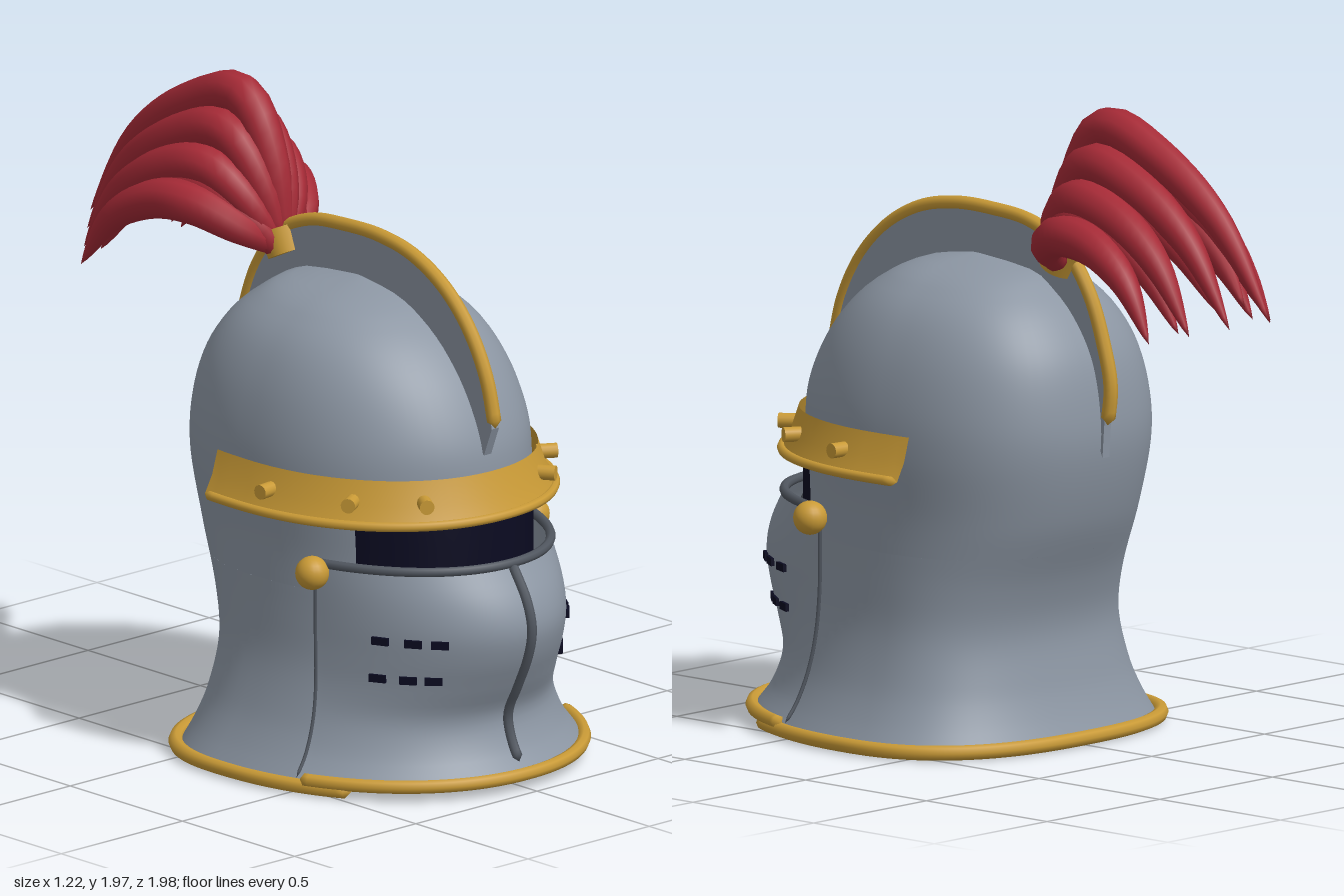
import * as THREE from 'three';
import { mergeVertices } from 'three/addons/utils/BufferGeometryUtils.js';

const V = (x, y, z) => new THREE.Vector3(x, y, z);
const mat = (name, color, side = THREE.FrontSide) => {
  const m = new THREE.MeshStandardMaterial({ color, side });
  m.name = name;
  return m;
};

const C = 0.22; // z of the widest point of every cross-section

// Cross-section point; angle 0 is the front, growing towards +x
function sectionPoint([y, w, zf, zb], a) {
  const s = Math.sin(a), c = Math.cos(a);
  const e = 2 / (c > 0 ? 2.1 : 2.5);
  const d = c > 0 ? zf - C : C - zb;
  return V(w * Math.sign(s) * Math.abs(s) ** e, y, C + d * Math.sign(c) * Math.abs(c) ** e);
}
// Angle at which a section reaches a given z in front of C
const angleAt = (row, z) => Math.acos(Math.min(1, Math.max(0, (z - C) / (row[2] - C)) ** 1.05));

// Smooth profile through rows [y, halfWidth, zFront, zBack]
function profile(rows) {
  const c1 = new THREE.CatmullRomCurve3(rows.map(r => V(r[0], r[1], r[2])), false, 'catmullrom');
  const c2 = new THREE.CatmullRomCurve3(rows.map(r => V(r[0], r[3], 0)), false, 'catmullrom');
  return y => {
    let lo = 0, hi = 1;
    for (let i = 0; i < 30; i++) {
      const m = (lo + hi) / 2;
      if (c1.getPoint(m).y !== undefined && c1.getPoint(m).x < y) lo = m; else hi = m;
    }
    const p = c1.getPoint(hi), q = c2.getPoint(hi);
    return [p.x, Math.max(0, p.y), p.z, q.y];
  };
}

// Surface over section rows; range(row) gives the start and end angle
function loft(rows, range, seg) {
  const pos = [], idx = [];
  rows.forEach((row, i) => {
    const [a0, a1] = range(row);
    for (let j = 0; j <= seg; j++) {
      pos.push(...sectionPoint(row, a0 + (a1 - a0) * j / seg).toArray());
      if (i && j) {
        const d = i * (seg + 1) + j, a = d - seg - 2;
        idx.push(a, a + 1, d - 1, a + 1, d, d - 1);
      }
    }
  });
  const g = new THREE.BufferGeometry();
  g.setAttribute('position', new THREE.Float32BufferAttribute(pos, 3));
  g.setIndex(idx);
  const m = mergeVertices(g, 1e-4);
  m.computeVertexNormals();
  return m;
}
const steps = (a, b, n) => Array.from({ length: n + 1 }, (_, i) => a + (b - a) * i / n);

// Tube closed at both ends whose radius follows a function of length
function sweep(points, r, seg = 60, sides = 8, taper = () => 1) {
  const curve = new THREE.CatmullRomCurve3(points);
  const g = new THREE.TubeGeometry(curve, seg, r, sides, false);
  const p = g.attributes.position, v = V(0, 0, 0);
  for (let i = 0; i <= seg; i++) {
    const c = curve.getPointAt(i / seg);
    const k = i === 0 || i === seg ? 0 : taper(i / seg);
    for (let j = 0; j <= sides; j++) {
      const n = i * (sides + 1) + j;
      v.fromBufferAttribute(p, n).sub(c).multiplyScalar(k).add(c);
      p.setXYZ(n, v.x, v.y, v.z);
    }
  }
  g.deleteAttribute('uv');
  g.deleteAttribute('normal');
  const m = mergeVertices(g, 1e-4);
  m.computeVertexNormals();
  return m;
}
const arc = (row, a0, a1, n = 48) => steps(a0, a1, n).map(a => sectionPoint(row, a));

export function createModel() {
  const root = new THREE.Group();
  root.name = 'helmet';
  const steel = mat('steel', 0x8c96a3, THREE.DoubleSide);
  const darkSteel = mat('dark steel', 0x50565f);
  const gold = mat('gold', 0xc99a36, THREE.DoubleSide);
  const red = mat('plume red', 0xa52a36);
  const black = mat('slit black', 0x0a0a20, THREE.DoubleSide);
  const add = (name, geo, material, parent = root) => {
    const m = new THREE.Mesh(geo, material);
    m.name = name;
    parent.add(m);
    return m;
  };

  // Skull: full dome above, open at the front below
  const skull = profile([
    [0.02, 0.58, 0.93, -0.215], [0.1, 0.53, 0.88, -0.18], [0.2, 0.485, 0.84, -0.15], [0.35, 0.447, 0.81, -0.13],
    [0.5, 0.437, 0.8, -0.165], [0.7, 0.437, 0.795, -0.25], [0.9, 0.452, 0.785, -0.3], [1.05, 0.445, 0.77, -0.3],
    [1.2, 0.41, 0.7, -0.265], [1.32, 0.35, 0.6, -0.19], [1.4, 0.265, 0.49, -0.1], [1.445, 0.16, 0.38, -0.01],
    [1.47, 0, C, C]]);
  add('skullDome', loft([...steps(0.6, 1.4, 30), 1.415, 1.43, 1.445, 1.457, 1.465, 1.47].map(skull),
    () => [-Math.PI, Math.PI], 72), steel);
  add('skullNeck', loft(steps(0.02, 0.6, 22).map(skull), r => {
    const a = angleAt(r, 0.6);
    return [a, 2 * Math.PI - a];
  }, 60), steel);

  // Eye slit
  add('eyeSlit', loft(steps(0.6, 0.87, 5).map(y => {
    const r = skull(y);
    return [y, r[1] + 0.006, r[2] + 0.006, r[3]];
  }), r => [-angleAt(r, 0.58), angleAt(r, 0.58)], 32), black);

  // Visor with its rim, ridge and rear edges
  const visor = profile([
    [0.05, 0.585, 0.945, 0], [0.12, 0.535, 0.895, 0], [0.22, 0.493, 0.868, 0], [0.32, 0.465, 0.912, 0],
    [0.42, 0.453, 0.957, 0], [0.51, 0.45, 0.975, 0], [0.6, 0.452, 0.95, 0], [0.7, 0.458, 0.885, 0]]);
  const rearZ = y => 0.475 + 0.045 * Math.max(0, 1 - y / 0.5) ** 1.5;
  const visorSpan = r => [-angleAt(r, rearZ(r[0])), angleAt(r, rearZ(r[0]))];
  add('visor', loft(steps(0.05, 0.7, 26).map(visor), visorSpan, 56), steel);
  add('visorRim', sweep(arc(visor(0.7), ...visorSpan(visor(0.7))), 0.015), darkSteel);
  add('visorRidge', sweep(steps(0.08, 0.7, 14).map(y => V(0, y, visor(y)[2])), 0.017, 40), darkSteel);
  for (const s of [-1, 1]) {
    add('visorEdge', sweep(steps(0.05, 0.67, 12).map(y => {
      const r = visor(y);
      return sectionPoint(r, s * angleAt(r, rearZ(y)));
    }), 0.006, 30, 6), darkSteel);
    add('visorPivot', new THREE.SphereGeometry(0.052, 20, 14), gold).position.set(s * 0.455, 0.675, 0.49);

    // Breathing slots
    for (const y of [0.365, 0.485]) for (const x of [0.26, 0.31, 0.36]) {
      const r = visor(y);
      const a = s * Math.asin((x / r[1]) ** 1.05);
      const p = sectionPoint(r, a), t = sectionPoint(r, a + 0.01).sub(p);
      const slot = add('breathSlot', new THREE.BoxGeometry(0.054, 0.024, 0.02), black);
      slot.position.copy(p);
      slot.rotation.y = Math.atan2(-t.z, t.x);
    }
  }

  // Bottom trims
  const neckRow = [0.027, 0.588, 0.95, -0.228], visorRow = [0.05, 0.592, 0.955, 0];
  const n0 = angleAt(neckRow, 0.68), v0 = angleAt(visorRow, 0.53);
  add('neckTrim', sweep(arc(neckRow, n0, 2 * Math.PI - n0, 64), 0.023, 120), gold);
  add('visorTrim', sweep(arc(visorRow, -v0, v0), 0.021, 90), gold);

  // Brow band with rolled lower edge and rivets
  const browRows = [[0.975, 0.468, 0.805, -0.33], [0.9, 0.49, 0.83, -0.35], [0.845, 0.52, 0.855, -0.37]];
  const browEnd = r => Math.PI / 2 + Math.asin(((C - 0.075) / (C - r[3])) ** 1.25);
  add('browBand', loft([...browRows].reverse(), r => [-browEnd(r), browEnd(r)], 64), gold);
  add('browEdge', sweep(arc(browRows[2], -browEnd(browRows[2]), browEnd(browRows[2])), 0.015, 90), gold);
  for (const s of [-1, 1]) for (const z of [0.33, 0.6, 0.76]) {
    const a = s * angleAt(browRows[1], z);
    const p = sectionPoint(browRows[1], a), t = sectionPoint(browRows[1], a + 0.01).sub(p);
    const rivet = add('browRivet', new THREE.CylinderGeometry(0.023, 0.023, 0.065, 14), gold);
    const out = V(-t.z, 0, t.x).normalize();
    if (out.dot(V(p.x, 0, p.z - C)) < 0) out.negate();
    rivet.quaternion.setFromUnitVectors(V(0, 1, 0), out);
    rivet.position.copy(p).addScaledVector(out, 0.012).setY(0.91);
  }

  // Crest plate and its gold edge, given as [z, y]
  const edge = [[0.815, 1.11], [0.775, 1.26], [0.7, 1.395], [0.59, 1.505], [0.45, 1.578], [0.3, 1.607], [0.15, 1.607],
    [0, 1.59], [-0.14, 1.525], [-0.24, 1.4], [-0.3, 1.25], [-0.33, 1.12], [-0.317, 1.0]];
  const inner = [[-0.31, 0.9], [-0.27, 1.0], [-0.2, 1.2], [0, 1.36], [0.2, 1.4], [0.5, 1.3], [0.7, 1.1], [0.78, 1.02]];
  const smooth = new THREE.SplineCurve(edge.map(p => new THREE.Vector2(...p))).getPoints(48);
  const plate = new THREE.Shape([...smooth, ...inner.map(p => new THREE.Vector2(...p))]);
  const plateGeo = new THREE.ExtrudeGeometry(plate, { depth: 0.03, bevelEnabled: false });
  plateGeo.translate(0, 0, -0.015).rotateY(-Math.PI / 2);
  add('crestPlate', plateGeo, steel);
  add('crestTrim', sweep(edge.map(p => V(0, p[1], p[0])), 0.022, 80), gold);

  // Plume socket
  const socket = add('plumeSocket', new THREE.CylinderGeometry(0.068, 0.06, 0.08, 20), gold);
  socket.position.set(0, 1.495, -0.13);
  socket.rotation.x = -0.45;

  // Plume: feathers blend from the tall middle one to the low outer ones
  const plume = new THREE.Group();
  plume.name = 'plume';
  root.add(plume);
  const middle = [V(0, 1.48, -0.13), V(0, 1.74, -0.185), V(0, 1.915, -0.31), V(0, 1.85, -0.53), V(0, 1.68, -0.78), V(0, 1.4, -0.99)];
  const outer = [V(0.02, 1.48, -0.14), V(0.13, 1.55, -0.19), V(0.2, 1.61, -0.31), V(0.225, 1.6, -0.46), V(0.25, 1.51, -0.62), V(0.27, 1.34, -0.74)];
  const lower = [V(0.01, 1.48, -0.14), V(0.04, 1.62, -0.22), V(0.06, 1.72, -0.34), V(0.07, 1.7, -0.5), V(0.07, 1.6, -0.68), V(0.06, 1.42, -0.83)];
  const taper = t => t < 0.4 ? 0.5 + 0.5 * Math.sin(t / 0.4 * Math.PI / 2) : Math.max(0.12, Math.cos((t - 0.4) / 0.6 * Math.PI / 2) ** 0.8);
  const feather = (pts, s) => add('feather', sweep(pts.map(p => V(p.x * s, p.y, p.z)), 0.064, 28, 10, taper), red, plume);
  feather(middle, 1);
  for (const s of [-1, 1]) {
    for (const k of [1 / 3, 2 / 3, 1]) feather(middle.map((p, i) => p.clone().lerp(outer[i], k)), s);
    feather(lower, s);
    feather(lower.map((p, i) => p.clone().lerp(outer[i], 0.5).add(V(0, -0.02, 0.02))), s);
  }
  return root;
}
